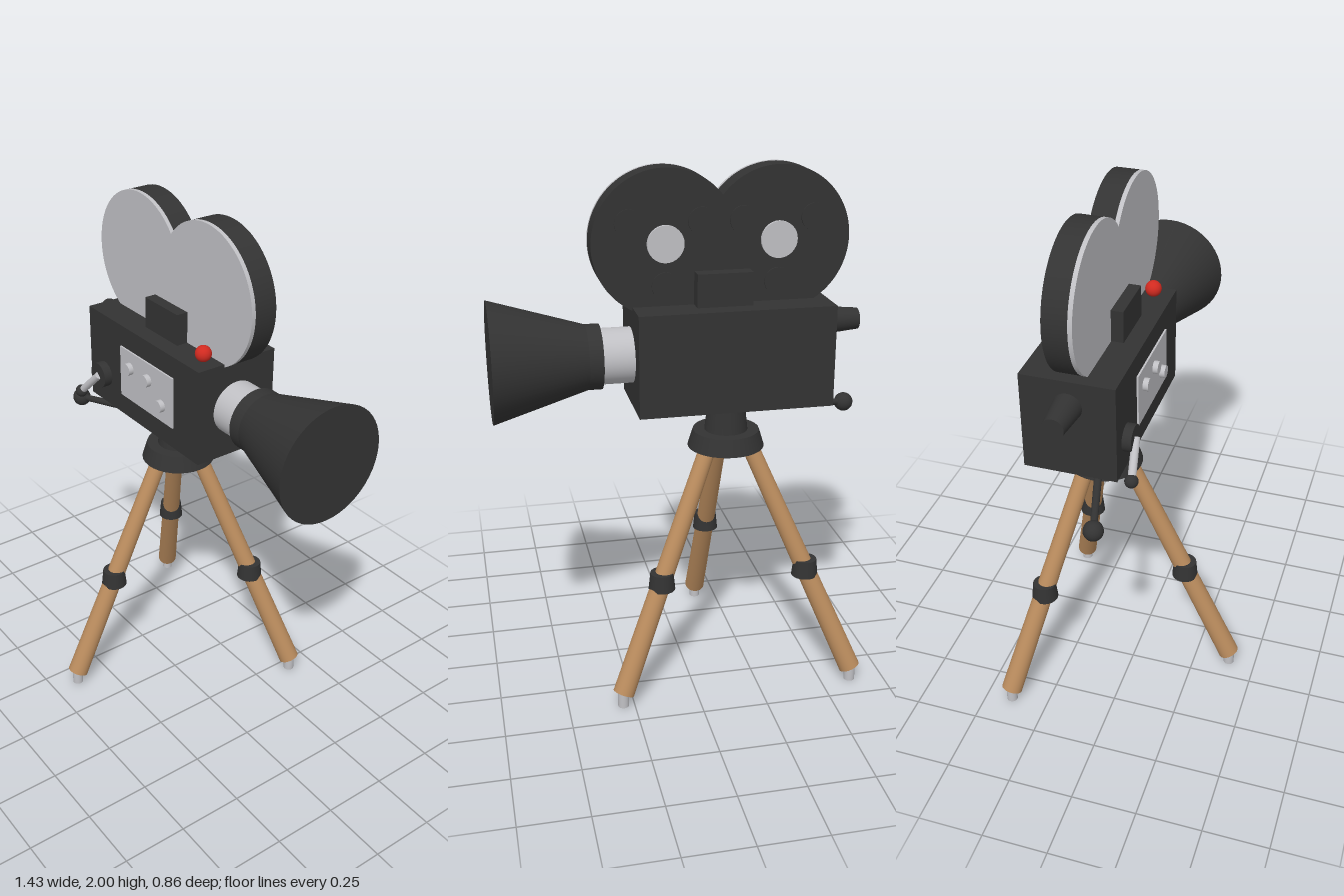
import * as THREE from 'three';
import { toCreasedNormals } from 'three/addons/utils/BufferGeometryUtils.js';

const material = (name, color) => {
  const m = new THREE.MeshStandardMaterial({ color });
  m.name = name;
  return m;
};

export function createModel() {
  const dark = material('charcoal', 0x333333);
  const silver = material('silver', 0xc0c0c4);
  const wood = material('wood', 0xb98b5d);
  const red = material('red', 0xd12a20);

  const root = new THREE.Group();
  root.name = 'movieCamera';
  const CX = -0.162, CZ = -0.133; // tripod axis, and the depth of the camera centreline

  const add = (name, geometry, mat, pos = [0, 0, 0], parent = root) => {
    const mesh = new THREE.Mesh(geometry, mat);
    mesh.name = name;
    mesh.position.set(...pos);
    parent.add(mesh);
    return mesh;
  };
  const box = (name, mat, x0, x1, y0, y1, z0, z1) =>
    add(name, new THREE.BoxGeometry(x1 - x0, y1 - y0, z1 - z0), mat,
      [(x0 + x1) / 2, (y0 + y1) / 2, (z0 + z1) / 2]);
  const ball = (name, mat, r, pos) => add(name, new THREE.SphereGeometry(r, 24, 16), mat, pos);
  // Capped, optionally tapered rod running from point a to point b
  const rod = (name, mat, a, b, ra, rb = ra, parent = root, sides = 32) => {
    const va = new THREE.Vector3(...a), vb = new THREE.Vector3(...b);
    const dir = vb.clone().sub(va);
    const mesh = add(name, new THREE.CylinderGeometry(rb, ra, dir.length(), sides), mat,
      va.add(vb).multiplyScalar(0.5).toArray(), parent);
    mesh.quaternion.setFromUnitVectors(new THREE.Vector3(0, 1, 0), dir.normalize());
    return mesh;
  };

  // Camera body and top block
  box('body', dark, -0.525, 0.2, 1.13, 1.51, -0.306, 0.04);
  box('topBlock', dark, -0.23, -0.025, 1.5, 1.632, -0.236, -0.028);
  ball('recordLight', red, 0.031, [0.133, 1.54, -0.03]);

  // Control plate with three buttons
  box('controlPlate', silver, -0.298, 0.048, 1.217, 1.425, 0.039, 0.047);
  for (const [x, y] of [[-0.23, 1.355], [-0.11, 1.355], [-0.022, 1.285]])
    rod('button', silver, [x, y, 0.04], [x, y, 0.067], 0.024);

  // Film magazine: two overlapping round lobes
  const R = 0.265, Y = 1.735, LOBES = [-0.335, 0.08];
  const a = Math.acos((LOBES[1] - LOBES[0]) / 2 / R);
  const outline = new THREE.Shape();
  outline.absarc(LOBES[0], Y, R, a, 2 * Math.PI - a, false);
  outline.absarc(LOBES[1], Y, R, a - Math.PI, Math.PI - a, false);
  const slab = (depth) => toCreasedNormals(
    new THREE.ExtrudeGeometry(outline, { depth, bevelEnabled: false, curveSegments: 48 }), 0.6);
  add('magazine', slab(0.09), dark, [0, 0, -0.18]);
  add('magazineCover', slab(0.016), silver, [0, 0, -0.09]);

  // Reel hubs and spokes on the back of the magazine
  for (const x of LOBES) {
    rod('reelHub', silver, [x, Y, -0.175], [x, Y, -0.193], 0.067);
    for (const deg of [30, 150, 270]) {
      const t = THREE.MathUtils.degToRad(deg);
      const px = x + 0.152 * Math.cos(t), py = Y + 0.152 * Math.sin(t);
      rod('reelDisc', dark, [px, py, -0.175], [px, py, -0.186], 0.05);
    }
  }

  // Lens barrel, collar and hood, with the eyepiece opposite
  const alongX = (name, mat, x0, x1, y, r0, r1) =>
    rod(name, mat, [x0, y, CZ], [x1, y, CZ], r0, r1, root, 48);
  alongX('lensBarrel', silver, 0.19, 0.325, 1.322, 0.103);
  alongX('lensCollar', dark, 0.315, 0.367, 1.322, 0.12);
  alongX('lensHood', dark, 0.36, 0.715, 1.322, 0.118, 0.224);
  alongX('eyepiece', dark, -0.664, -0.515, 1.41, 0.04, 0.054);

  // Hand crank
  rod('crankHub', dark, [-0.423, 1.255, 0.035], [-0.423, 1.255, 0.074], 0.051);
  rod('crankArm', silver, [-0.418, 1.257, 0.075], [-0.525, 1.15, 0.092], 0.015);
  ball('crankKnob', dark, 0.025, [-0.527, 1.148, 0.092]);

  // Tripod head and panning handle
  rod('tripodNeck', dark, [CX, 0.99, CZ], [CX, 1.14, CZ], 0.084, 0.067);
  rod('tripodHead', dark, [CX, 0.94, CZ], [CX, 1.005, CZ], 0.146, 0.126);
  rod('panHandle', dark, [CX - 0.02, 1.1, CZ], [-0.68, 1.027, 0.003], 0.016, 0.013);
  ball('panKnob', dark, 0.037, [-0.68, 1.027, 0.003]);

  // Three splayed legs with upright collars and feet
  for (let i = 0; i < 3; i++) {
    const leg = new THREE.Group();
    leg.name = 'leg';
    leg.position.set(CX, 0, CZ);
    leg.rotation.y = (i * 2 * Math.PI) / 3;
    root.add(leg);
    rod('legPole', wood, [0, 0.055, 0.523], [0, 0.96, 0.088], 0.041, 0.032, leg);
    rod('legCollar', dark, [0, 0.435, 0.327], [0, 0.503, 0.327], 0.051, 0.044, leg);
    rod('foot', silver, [0, 0, 0.525], [0, 0.07, 0.525], 0.021, 0.021, leg);
  }
  return root;
}
